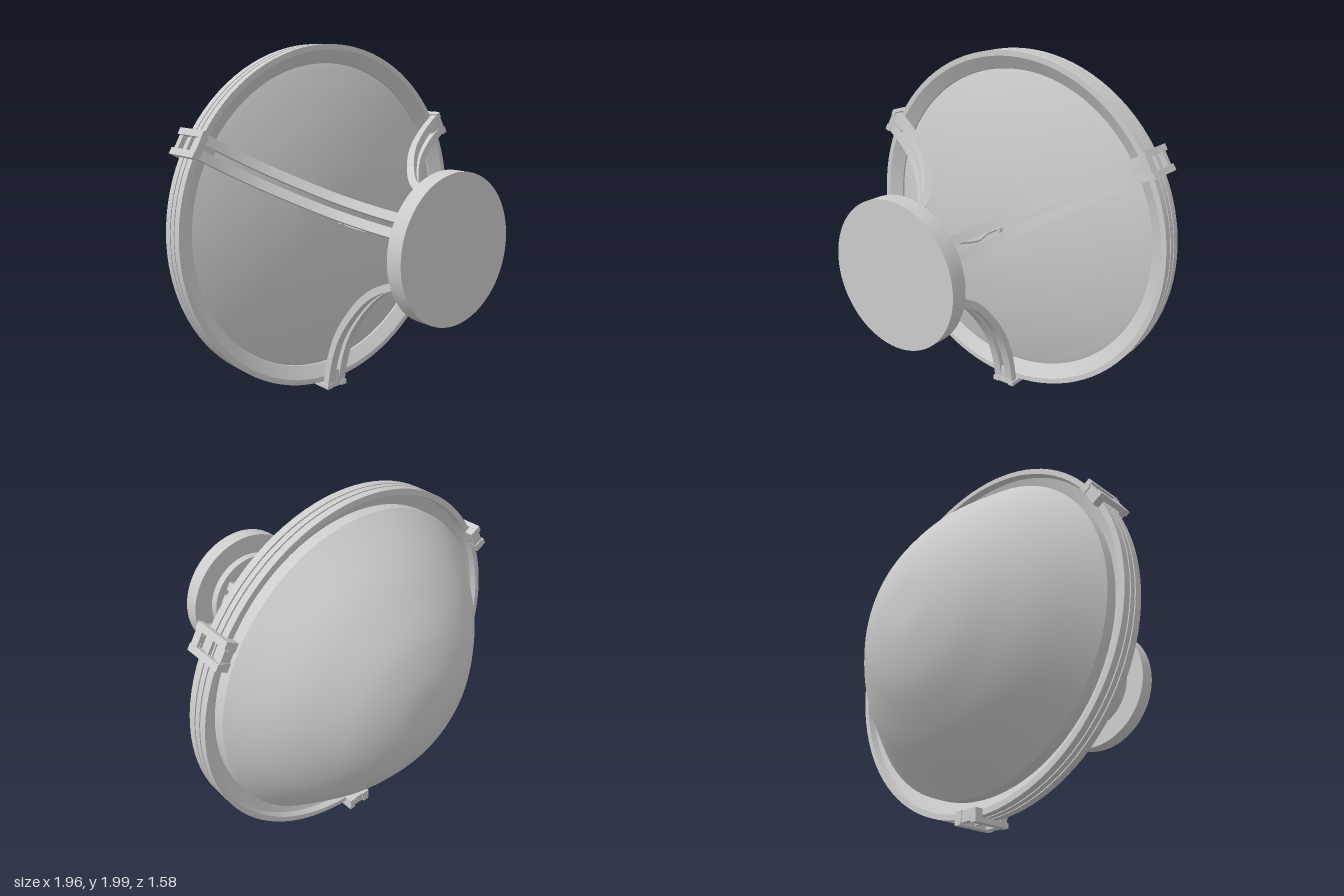
import * as THREE from 'three';
import { toCreasedNormals } from 'three/addons/utils/BufferGeometryUtils.js';

const AXIS_Y = 1.02; // height of the lamp's central axis
const grey = new THREE.MeshStandardMaterial({ color: 0xcccccc });
const v2 = ([a, b]) => new THREE.Vector2(a, b);

function add(parent, name, geometry) {
  const mesh = new THREE.Mesh(geometry, grey);
  mesh.name = name;
  parent.add(mesh);
  return mesh;
}

// Turned part around the z axis; profile of [radius, z], anticlockwise
function turned(points, crease = 0.5) {
  const geo = new THREE.LatheGeometry(points.map(v2), 96).rotateX(Math.PI / 2);
  return toCreasedNormals(geo, crease);
}

function box(parent, name, size, pos) {
  return add(parent, name, new THREE.BoxGeometry(...size)).position.set(...pos);
}

const spline = (pts, n) => new THREE.SplineCurve(pts.map(v2)).getPoints(n);

// Curved bar in the radius/z plane, extruded to a width and centred on a tangential offset
function armBar(width, offset) {
  const curve = new THREE.SplineCurve([
    [0.2, 0.66], [0.255, 0.42], [0.375, 0.2], [0.6, 0.005], [0.8, -0.09], [1.0, -0.135],
  ].map(v2));
  const n = 28, half = 0.021, a = [], b = [];
  for (let i = 0; i <= n; i++) {
    const p = curve.getPoint(i / n), t = curve.getTangent(i / n);
    a.push(new THREE.Vector2(p.x - t.y * half, p.y + t.x * half));
    b.push(new THREE.Vector2(p.x + t.y * half, p.y - t.x * half));
  }
  const shape = new THREE.Shape([...a, ...b.reverse()]);
  const geo = new THREE.ExtrudeGeometry(shape, { depth: width, bevelEnabled: false });
  geo.rotateX(Math.PI / 2).translate(0, offset + width / 2, 0);
  return toCreasedNormals(geo, 0.5);
}

// Split arm with the clamp that grips the rim; local x is radial, y tangential
function supportArm() {
  const arm = new THREE.Group();
  arm.name = 'supportArm';
  for (const side of [-1, 1]) {
    add(arm, 'armBar', armBar(0.05, side * 0.04));
    box(arm, 'clampRail', [0.028, 0.036, 0.225], [1.0, side * 0.055, -0.2175]);
    box(arm, 'clampTooth', [0.045, 0.045, 0.045], [0.968, side * 0.05, -0.3075]);
  }
  box(arm, 'armEndBlock', [0.09, 0.11, 0.04], [0.95, 0, -0.128]);
  box(arm, 'clampFrontBar', [0.03, 0.13, 0.045], [0.995, 0, -0.13]);
  box(arm, 'clampMiddleBar', [0.018, 0.09, 0.02], [0.992, 0, -0.22]);
  box(arm, 'clampBackBar', [0.055, 0.13, 0.035], [0.975, 0, -0.307]);
  return arm;
}

export function createModel() {
  const model = new THREE.Group();
  model.name = 'domeLamp';
  const lamp = new THREE.Group();
  lamp.name = 'lampBody';
  lamp.position.y = AXIS_Y;
  model.add(lamp);

  // Glass body: deep rounded back, shallow front
  const back = spline([
    [0, -0.788], [0.18, -0.777], [0.38, -0.715], [0.55, -0.61], [0.7, -0.485], [0.88, -0.28],
  ], 32);
  const front = spline([
    [0.88, -0.21], [0.83, -0.193], [0.7, -0.155], [0.5, -0.11], [0.25, -0.075], [0, -0.066],
  ], 24);
  back[0].x = 0;
  front[24].x = 0;
  add(lamp, 'glassDome', turned([...back, ...front].map((p) => [p.x, p.y]), 0.7));

  // Rim of three bands separated by grooves
  add(lamp, 'rim', turned([
    [0.875, -0.215], [0.945, -0.245], [0.95, -0.283], [0.98, -0.283],
    [0.98, -0.243], [0.965, -0.243], [0.965, -0.235], [0.98, -0.235],
    [0.98, -0.205], [0.965, -0.205], [0.965, -0.197], [0.98, -0.197],
    [0.98, -0.155], [0.95, -0.155], [0.88, -0.2], [0.875, -0.215],
  ], 0.4));

  // Round mounting plate with a stepped inner face
  add(lamp, 'mountingPlate', turned([
    [0, 0.655], [0.27, 0.655], [0.27, 0.7], [0.385, 0.7], [0.385, 0.79], [0, 0.79],
  ]));

  // Three arms spaced evenly, one pointing straight down
  for (let i = 0; i < 3; i++) {
    const arm = supportArm();
    arm.rotation.z = -Math.PI / 2 + (i * Math.PI * 2) / 3;
    lamp.add(arm);
  }

  // Slack cable with a fitting at each end
  const cable = new THREE.CatmullRomCurve3([
    [0, 0, 0.62], [-0.01, 0, 0.57], [-0.055, 0.012, 0.42], [-0.045, 0.005, 0.28],
    [-0.008, -0.015, 0.12], [-0.02, -0.005, 0.02], [0, 0.005, -0.06],
  ].map((p) => new THREE.Vector3(...p)));
  add(lamp, 'cable', new THREE.TubeGeometry(cable, 60, 0.009, 8));
  add(lamp, 'plateFitting', turned([
    [0, 0.597], [0.018, 0.6], [0.027, 0.615], [0.027, 0.635], [0.02, 0.66], [0, 0.66],
  ], 0.8));
  add(lamp, 'domeFitting', turned([[0, -0.075], [0.02, -0.075], [0.02, -0.042], [0, -0.042]]));

  return model;
}
